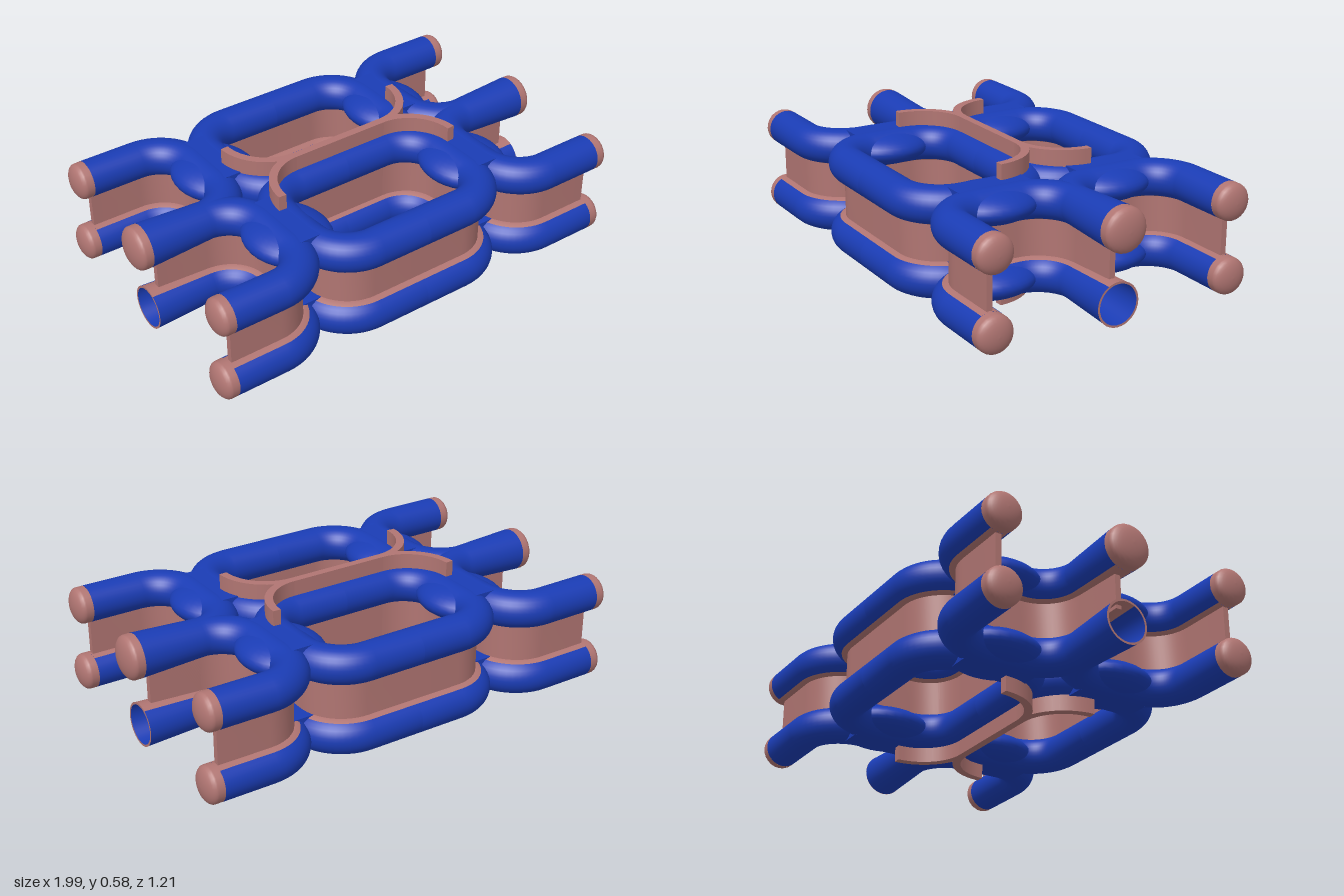
import * as THREE from 'three';
import { toCreasedNormals } from 'three/addons/utils/BufferGeometryUtils.js';

const blue = new THREE.MeshStandardMaterial({ color: 0x1a3cb4, side: THREE.DoubleSide });
const clay = new THREE.MeshStandardMaterial({ color: 0xb07572, side: THREE.DoubleSide });

const R = 0.077, BEND = 0.175, ROW = 0.53, MID = 0.2925;
const LAYER = 0.1525; // distance of each tube layer from mid height
const STRIP = 0.5; // half angle of the clay strip along each tube
const MID_END = 0.93, OUTER_END = 0.89;

// Half turn in the x-z plane: along z = 0, round two bends, back along z = ROW
function bentPath(xa, xb, dir, xc) {
  const pts = [[xa, 0]], n = 14;
  for (let i = 0; i <= n; i++) {
    const a = (i / n) * Math.PI / 2;
    pts.push([xb + dir * BEND * Math.sin(a), BEND * (1 - Math.cos(a))]);
  }
  for (let i = 0; i <= n; i++) {
    const a = (i / n) * Math.PI / 2;
    pts.push([xb + dir * BEND * Math.cos(a), ROW - BEND + BEND * Math.sin(a)]);
  }
  pts.push([xc, ROW]);
  return pts;
}

// Unit sideways direction at each point of a path
function sides(pts) {
  return pts.map((p, i) => {
    const a = pts[Math.max(i - 1, 0)], b = pts[Math.min(i + 1, pts.length - 1)];
    const dx = b[0] - a[0], dz = b[1] - a[1], l = Math.hypot(dx, dz);
    return [-dz / l, dx / l];
  });
}

// Middle arms flare towards their ends
function radiusAt([x, z]) {
  const t = (Math.abs(x) - 0.64) / (MID_END - 0.64);
  return Math.abs(z) < 0.01 && t > 0 ? R + 0.014 * t : R;
}

// Part of a tube between two angles, angle 0 pointing towards mid height
function tubeSector(pts, up, a0, a1, segs) {
  const pos = [], idx = [], side = sides(pts);
  pts.forEach((p, i) => {
    const r = radiusAt(p);
    for (let j = 0; j <= segs; j++) {
      const a = a0 + (a1 - a0) * j / segs, s = r * Math.sin(a);
      pos.push(p[0] + side[i][0] * s, MID + up * (LAYER - r * Math.cos(a)), p[1] + side[i][1] * s);
      if (i < pts.length - 1 && j < segs) {
        const q = i * (segs + 1) + j, t = q + segs + 1;
        if (up > 0) idx.push(q, t, q + 1, q + 1, t, t + 1);
        else idx.push(q, q + 1, t, q + 1, t + 1, t);
      }
    }
  });
  const g = new THREE.BufferGeometry();
  g.setAttribute('position', new THREE.Float32BufferAttribute(pos, 3));
  g.setIndex(idx);
  g.computeVertexNormals();
  return g;
}

// Upright sheet of given thickness following a path
function sheet(pts, thick, y0, y1) {
  const side = sides(pts);
  const edge = k => pts.map((p, i) => new THREE.Vector2(p[0] + side[i][0] * k, p[1] + side[i][1] * k));
  const shape = new THREE.Shape([...edge(thick / 2), ...edge(-thick / 2).reverse()]);
  const g = new THREE.ExtrudeGeometry(shape, { depth: y1 - y0, bevelEnabled: false });
  g.rotateX(Math.PI / 2).translate(0, y1, 0);
  return toCreasedNormals(g, 0.6);
}

// Rounded plug, pointing along +x
function capGeometry(r) {
  const prof = [[r, 0], [r, 0.028]];
  for (let i = 1; i <= 8; i++) {
    const a = (i / 8) * Math.PI / 2;
    prof.push([r * Math.cos(a), 0.028 + 0.037 * Math.sin(a)]);
  }
  const g = new THREE.LatheGeometry(prof.map(p => new THREE.Vector2(Math.max(p[0], 0), p[1])), 24);
  return g.rotateZ(-Math.PI / 2);
}

export function createModel() {
  const model = new THREE.Group();
  const add = (name, geo, mat, x = 0, y = 0, z = 0) => {
    const m = new THREE.Mesh(geo, mat);
    m.name = name;
    m.position.set(x, y, z);
    model.add(m);
    return m;
  };

  const ring = bentPath(0, 0.22, 1, 0);
  const arm = bentPath(MID_END, 0.66, -1, OUTER_END);
  const armWall = bentPath(0.885, 0.66, -1, 0.885);
  const brace = [];
  for (let i = 0; i <= 12; i++) {
    const a = (i / 12) * Math.PI / 2;
    brace.push([0.22 + 0.2 * Math.sin(a), 0.21 * (1 - Math.cos(a))]);
  }

  for (const sx of [1, -1]) {
    for (const sz of [1, -1]) {
      const mirror = pts => {
        const m = pts.map(([x, z]) => [x * sx, z * sz]);
        return m;
      };
      // keep the same turning sense so that faces point outward
      for (const [name, path] of [['ringTube', ring], ['armTube', arm]]) {
        for (const up of [1, -1]) {
          add(name, tubeSector(mirror(path), up, STRIP, 2 * Math.PI - STRIP, 26), blue);
          add(name + 'Strip', tubeSector(mirror(path), up, -STRIP, STRIP, 6), clay);
        }
      }
      // walls joining the two layers
      add('ringWall', sheet(mirror(ring), 0.025, MID - 0.08, MID + 0.08), clay);
      add('armWall', sheet(mirror(armWall), 0.025, MID - 0.08, MID + 0.08), clay);
      // flared end of the central brace
      add('braceArm', sheet(mirror(brace), 0.034, 0, 0.585), clay);

      for (const up of [1, -1]) {
        const y = MID + up * LAYER;
        // swollen joint where ring and arm tubes fuse
        const swell = add('jointSwell', new THREE.SphereGeometry(1, 32, 20), blue, sx * 0.44, y, sz * 0.265);
        swell.scale.set(0.175, 0.0755, 0.2);
        add('jointFill', new THREE.BoxGeometry(0.09, 0.152, 0.32), blue, sx * 0.44, y, sz * 0.265);
        // outer end caps
        const cap = add('outerCap', capGeometry(R), clay, sx * OUTER_END, y, sz * ROW);
        if (sx < 0) cap.rotation.y = Math.PI;
      }
    }
    // middle arms: capped above, open with a rim below
    const cap = add('middleCap', capGeometry(0.091), clay, sx * MID_END, MID + LAYER, 0);
    if (sx < 0) cap.rotation.y = Math.PI;
    const rim = add('openRim', new THREE.RingGeometry(0.083, 0.092, 32), clay, sx * MID_END, MID - LAYER, 0);
    rim.rotation.y = sx * Math.PI / 2;
  }
  // straight web of the central brace
  add('braceWeb', new THREE.BoxGeometry(0.6, 0.585, 0.034), clay, 0, 0.2925, 0);
  return model;
}
